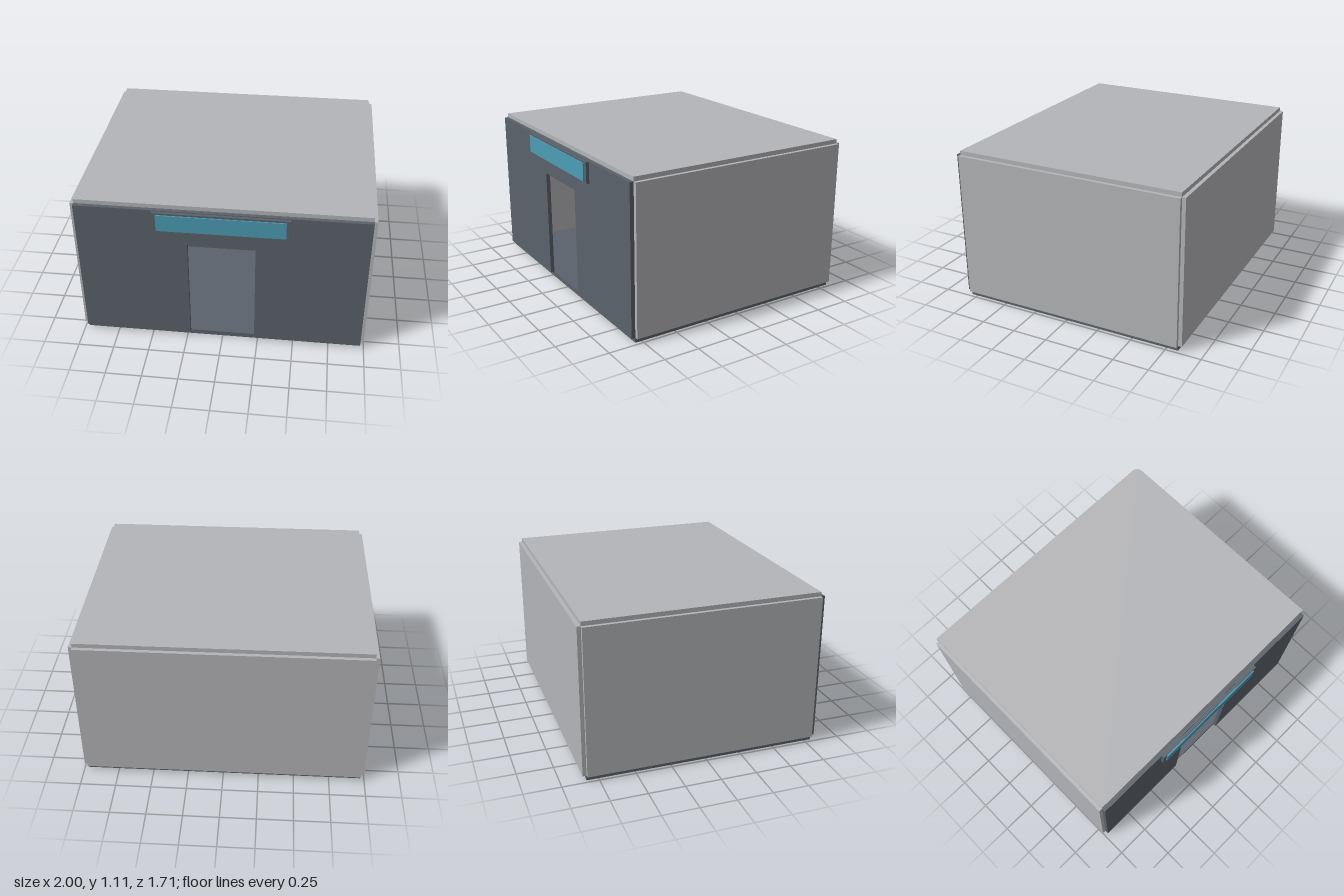
import * as THREE from 'three';

const mat = (name, color) => {
  const m = new THREE.MeshStandardMaterial({ color });
  m.name = name;
  return m;
};

export function createModel() {
  const light = mat('lightGrey', 0xb4b5b8);
  const dark = mat('slateGrey', 0x5b626b);
  const teal = mat('teal', 0x4b9db5);
  const group = new THREE.Group();
  group.name = 'shopRoom';

  // Box given by its min and max along each axis
  const box = (name, material, [x0, x1], [y0, y1], [z0, z1]) => {
    const mesh = new THREE.Mesh(new THREE.BoxGeometry(x1 - x0, y1 - y0, z1 - z0), material);
    mesh.position.set((x0 + x1) / 2, (y0 + y1) / 2, (z0 + z1) / 2);
    mesh.name = name;
    group.add(mesh);
  };

  const W = 0.975, floorTop = 0.035, wallTop = 1.075;
  const zFront = 0.797, zBack = -0.83;

  // Shell
  box('floor', dark, [-W, W], [0, floorTop], [zBack, zFront]);
  box('roof', light, [-W, W], [wallTop, 1.105], [zBack, zFront]);
  box('backWall', light, [-W, W], [floorTop, wallTop], [-0.856, zBack]);
  box('leftWall', light, [W, 1], [floorTop, wallTop], [zBack, zFront]);
  box('rightWall', light, [-1, -W], [floorTop, wallTop], [zBack, zFront]);

  // Front wall, one outline with the doorway notched out
  const doorX = 0.227, doorTop = 0.815;
  const outline = new THREE.Shape([
    [-W, floorTop], [-doorX, floorTop], [-doorX, doorTop], [doorX, doorTop],
    [doorX, floorTop], [W, floorTop], [W, wallTop], [-W, wallTop],
  ].map(([x, y]) => new THREE.Vector2(x, y)));
  const front = new THREE.Mesh(
    new THREE.ExtrudeGeometry(outline, { depth: 0.028, bevelEnabled: false }), dark);
  front.position.z = zFront;
  front.name = 'frontWall';
  group.add(front);

  // Sign above the door
  box('signFrame', dark, [-0.452, 0.452], [0.922, 1.07], [0.825, 0.847]);
  box('signPanel', teal, [-0.425, 0.425], [0.935, 1.057], [0.847, 0.855]);

  // Service counter
  box('counterBase', dark, [-0.553, 0.163], [floorTop, 0.378], [-0.39, -0.17]);
  box('counterTop', light, [-0.569, 0.178], [0.378, 0.394], [-0.405, -0.155]);

  // Till on the counter
  box('till', dark, [-0.117, -0.02], [0.394, 0.464], [-0.325, -0.235]);
  box('tillScreen', teal, [-0.104, -0.033], [0.464, 0.486], [-0.29, -0.27]);

  return group;
}
